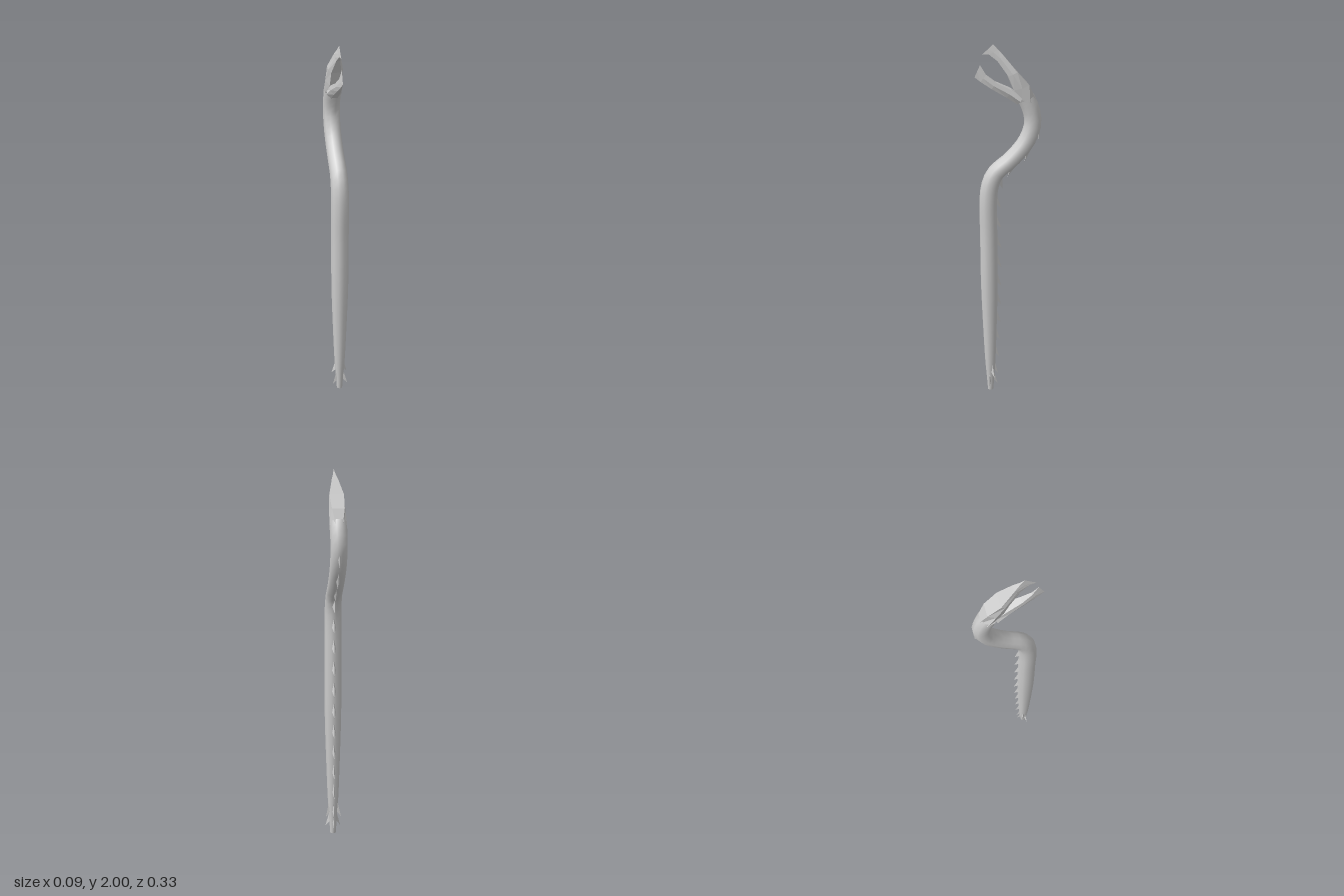
import * as THREE from 'three';
import { mergeGeometries } from 'three/addons/utils/BufferGeometryUtils.js';

const smooth = new THREE.MeshStandardMaterial({ color: 0xcccccc, side: THREE.DoubleSide });
const flat = new THREE.MeshStandardMaterial({ color: 0xcccccc, side: THREE.DoubleSide, flatShading: true });

// Spine of the body; x stores the radius, y and z the centre line
const spine = new THREE.CatmullRomCurve3([
  [0.016, 0, 0.107], [0.022, 0.09, 0.107], [0.029, 0.19, 0.107], [0.038, 0.42, 0.107],
  [0.046, 0.72, 0.107], [0.046, 1.0, 0.107], [0.046, 1.2, 0.107], [0.045, 1.29, 0.096],
  [0.044, 1.353, 0.067], [0.043, 1.42, -0.012], [0.043, 1.505, -0.085], [0.043, 1.575, -0.115],
  [0.043, 1.63, -0.12], [0.044, 1.69, -0.105], [0.044, 1.735, -0.085],
].map(p => new THREE.Vector3(...p)));
spine.arcLengthDivisions = 600;

// Point on the body at arc fraction u and angle a (0 = front, PI = back), pushed out by h
function surface(u, a, h = 0) {
  const c = spine.getPointAt(u), t = spine.getTangentAt(u);
  const len = Math.hypot(t.y, t.z), ty = t.y / len, tz = t.z / len;
  const r = c.x + h, n = Math.cos(a) * r;
  return new THREE.Vector3(Math.sin(a) * r, c.y - tz * n, c.z + ty * n);
}

// Skin a list of equal-length rings and cap both ends
function loft(rings, caps = true) {
  const n = rings[0].length, idx = [];
  const pos = rings.flat().flatMap(p => p.toArray());
  for (let i = 0; i < rings.length - 1; i++) {
    for (let j = 0; j < n; j++) {
      const a = i * n + j, b = i * n + (j + 1) % n;
      idx.push(a, b, b + n, a, b + n, a + n);
    }
  }
  if (caps) {
    const e = (rings.length - 1) * n;
    for (let j = 1; j < n - 1; j++) idx.push(0, j + 1, j, e, e + j, e + j + 1);
  }
  const g = new THREE.BufferGeometry();
  g.setAttribute('position', new THREE.Float32BufferAttribute(pos, 3));
  g.setIndex(idx);
  g.computeVertexNormals();
  return g;
}

// Jaw from sections: [lower y, z, half width], [upper y, z, half width], side half width
function jaw(sections) {
  return loft(sections.map(([[y0, z0, w0], [y1, z1, w1], ws]) => {
    const ym = (y0 + y1) / 2, zm = (z0 + z1) / 2;
    return [[w0, y0, z0], [ws, ym, zm], [w1, y1, z1], [-w1, y1, z1], [-ws, ym, zm], [-w0, y0, z0]]
      .map(p => new THREE.Vector3(...p));
  }));
}

const total = spine.getLength();

// Arc fraction at which the spine reaches a given height
function atHeight(y) {
  let lo = 0, hi = 1;
  for (let i = 0; i < 30; i++) {
    const m = (lo + hi) / 2;
    if (spine.getPointAt(m).y < y) lo = m; else hi = m;
  }
  return lo;
}

// Downward-pointing barb rooted in the surface
function barb(y, a, l = 0.085, h = 0.022, spread = 0.28) {
  const u = atHeight(y), d = l / total;
  const at = (k, da, out) => surface(Math.max(0, u - d * k), a + da, out);
  const top = at(0, 0, -0.003), left = at(0.6, spread, -0.003);
  const right = at(0.6, -spread, -0.003), tip = at(1, 0, h);
  const pts = [top, right, tip, top, tip, left, left, tip, right];
  const g = new THREE.BufferGeometry();
  g.setAttribute('position', new THREE.Float32BufferAttribute(pts.flatMap(p => p.toArray()), 3));
  g.computeVertexNormals();
  return g;
}

export function createModel() {
  const group = new THREE.Group();
  const add = (name, geo, mat) => {
    const m = new THREE.Mesh(geo, mat);
    m.name = name;
    group.add(m);
  };

  // Ten-sided body
  const rings = [];
  for (let i = 0; i <= 48; i++) {
    const ring = [];
    for (let j = 0; j < 10; j++) ring.push(surface(i / 48, (j + 0.5) * Math.PI / 5));
    rings.push(ring);
  }
  add('body', loft(rings, false), smooth);
  add('tailEnd', new THREE.CircleGeometry(0.016, 10).rotateX(Math.PI / 2).translate(0, 0, 0.107), flat);

  // Jaws, each narrowing to an upright knife edge
  add('upperJaw', jaw([
    [[1.735, -0.058, 0.03], [1.713, -0.138, 0.015], 0.044],
    [[1.782, -0.021, 0.026], [1.804, -0.095, 0.032], 0.042],
    [[1.85, 0.006, 0.024], [1.872, -0.035, 0.037], 0.036],
    [[1.922, 0.056, 0.01], [1.948, 0.027, 0.016], 0.014],
    [[1.953, 0.095, 0.003], [1.975, 0.052, 0.006], 0.005],
    [[1.953, 0.127, 0], [2.0, 0.075, 0], 0],
  ]), flat);
  add('lowerJaw', jaw([
    [[1.708, -0.04, 0.016], [1.745, -0.062, 0.03], 0.038],
    [[1.745, 0.014, 0.014], [1.782, -0.012, 0.026], 0.028],
    [[1.788, 0.085, 0.008], [1.82, 0.064, 0.015], 0.016],
    [[1.825, 0.138, 0.003], [1.857, 0.11, 0.006], 0.006],
    [[1.847, 0.165, 0], [1.905, 0.138, 0], 0],
  ]), flat);

  // Row of barbs down the back
  const back = [barb(1.63, Math.PI, 0.1, 0.015), barb(1.51, Math.PI, 0.085, 0.02), barb(1.425, Math.PI, 0.08, 0.018)];
  for (let i = 0; i < 11; i++) back.push(barb(1.355 - i * 0.1167, Math.PI));
  back.push(barb(0.12, Math.PI));
  add('backBarbs', mergeGeometries(back), flat);

  // Two tiers of barbs on each side of the tail
  const tail = [];
  for (const s of [1, -1]) {
    tail.push(barb(0.185, s * 1.95, 0.085, 0.024, 0.35));
    tail.push(barb(0.12, s * 1.25, 0.083, 0.026, 0.4));
  }
  add('tailBarbs', mergeGeometries(tail), flat);
  return group;
}
